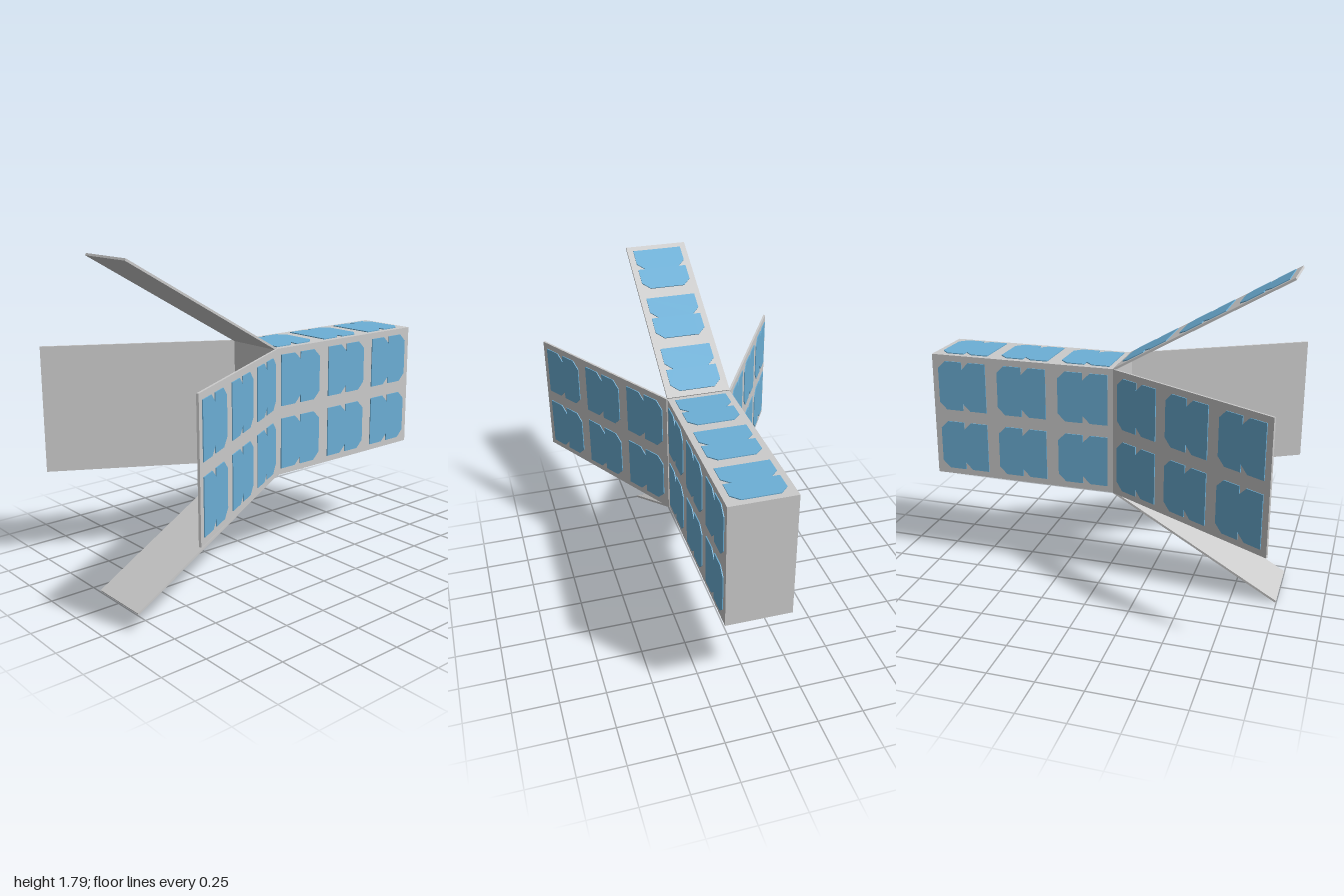
import * as THREE from 'three';

const U = 0.3565;            // one body unit
const LEN = 3 * U;           // body and panel length
const T = 0.012;             // panel thickness
const CELL_T = 0.005;        // solar cell thickness
const HINGE_X = 1 - LEN;     // rear end of the body
const CENTRE_Y = 0.893;

const grey = new THREE.MeshStandardMaterial({ color: 0xcccccc });
const blue = new THREE.MeshStandardMaterial({ color: 0x6cafd6 });

// Two strips side by side, each with its forward (+x) corners cut off
function cellGeometry() {
  const h = 0.143, c = 0.043;
  const outline = [
    [-h, -h], [-c, -h], [0, c - h], [0, -h], [h - c, -h], [h, c - h],
    [h, h - c], [h - c, h], [0, h], [0, h - c], [-c, h], [-h, h],
  ].map(([x, y]) => new THREE.Vector2(x, y));
  return new THREE.ExtrudeGeometry(new THREE.Shape(outline), { depth: CELL_T, bevelEnabled: false });
}

// Grid of cells, three long and one or two high, starting at x0
function cellGrid(geometry, name, x0, rows, z) {
  const grid = new THREE.Group();
  grid.name = name;
  for (let i = 0; i < 3; i++) {
    for (let j = 0; j < rows; j++) {
      const cell = new THREE.Mesh(geometry, blue);
      cell.name = 'solarCell';
      cell.position.set(x0 + (i + 0.5) * U, (j - (rows - 1) / 2) * U, z);
      grid.add(cell);
    }
  }
  return grid;
}

export function createModel() {
  const model = new THREE.Group();
  model.name = 'satellite';
  const cell = cellGeometry();

  const body = new THREE.Mesh(new THREE.BoxGeometry(LEN, 2 * U, U), grey);
  body.name = 'body';
  body.position.set(1 - LEN / 2, CENTRE_Y, 0);
  model.add(body);

  // Four sides around the long axis: cells on the body and a swept-out panel
  ['front', 'top', 'back', 'bottom'].forEach((name, k) => {
    const rows = k % 2 ? 1 : 2;
    const distance = k % 2 ? U : U / 2;
    const side = new THREE.Group();
    side.name = name + 'Side';
    side.position.y = CENTRE_Y;
    side.rotation.x = -k * Math.PI / 2;
    side.add(cellGrid(cell, name + 'BodyCells', HINGE_X, rows, distance));

    const panel = new THREE.Group();
    panel.name = name + 'Panel';
    panel.position.set(HINGE_X, 0, distance);
    panel.rotation.y = Math.PI / 6;
    const plate = new THREE.Mesh(new THREE.BoxGeometry(LEN, rows * U, T), grey);
    plate.name = name + 'PanelPlate';
    plate.position.x = -LEN / 2;
    panel.add(plate, cellGrid(cell, name + 'PanelCells', -LEN, rows, T / 2));
    side.add(panel);
    model.add(side);
  });

  return model;
}
